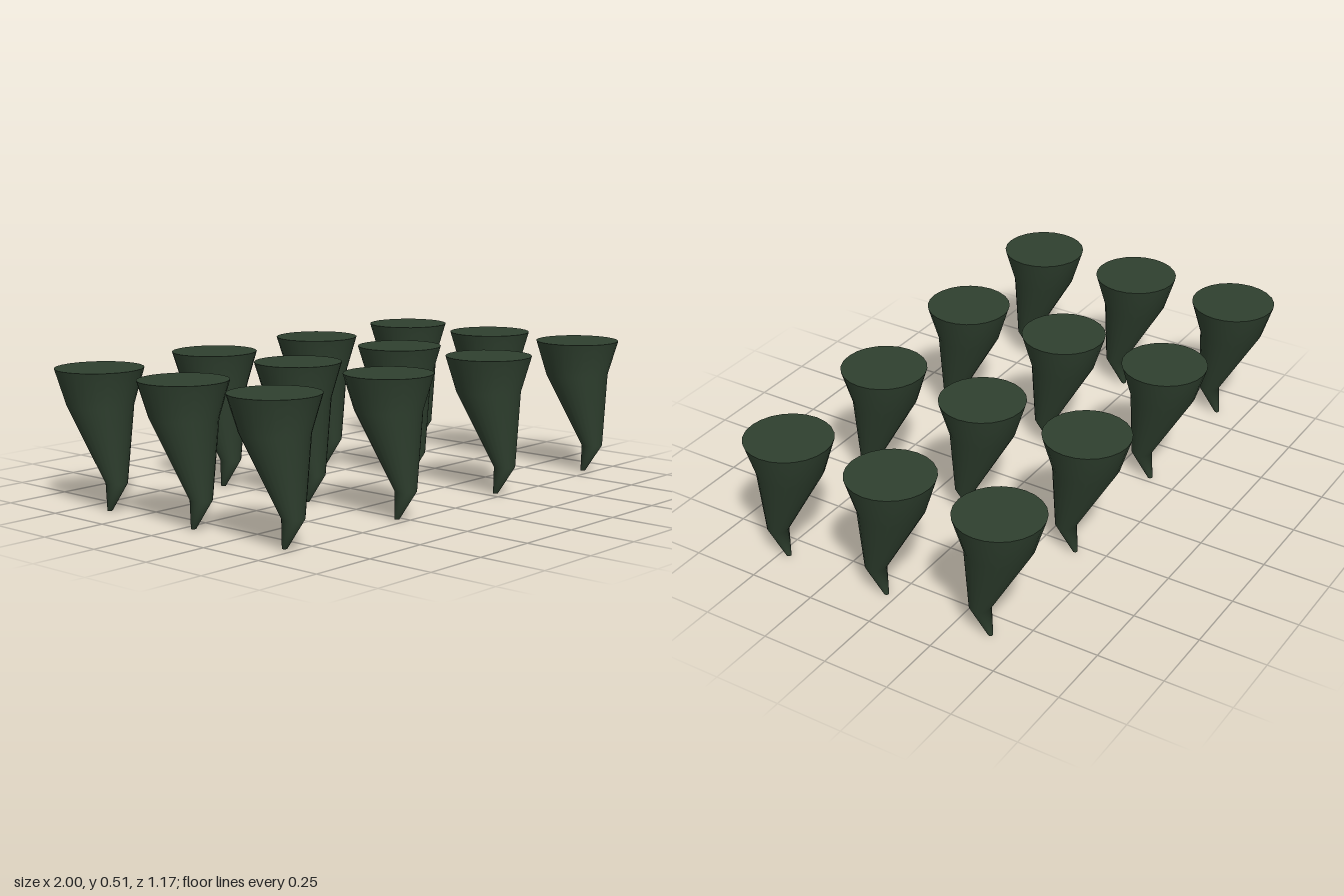
import * as THREE from 'three';
import { mergeVertices } from 'three/addons/utils/BufferGeometryUtils.js';

const SIDES = 24;
// Rings from the tip upward: height, radius, forward offset
const RINGS = [
  [0, 0.009, 0.038],
  [0.105, 0.039, 0.078],
  [0.378, 0.119, 0.001],
  [0.508, 0.158, 0],
];
const TILT = 0.004; // slight pitch of the whole set

// Bent cone wall: an open cylinder whose rings are resized and shifted
function bentWall() {
  let geo = new THREE.CylinderGeometry(1, 1, 3, SIDES, 3, true);
  geo.deleteAttribute('uv');
  geo.deleteAttribute('normal');
  const p = geo.attributes.position;
  for (let i = 0; i < p.count; i++) {
    const [y, r, z] = RINGS[Math.round(p.getY(i) + 1.5)];
    p.setXYZ(i, p.getX(i) * r, y, p.getZ(i) * r + z);
  }
  geo = mergeVertices(geo); // closes the seam for smooth shading
  geo.computeVertexNormals();
  return geo;
}

// Flat disc closing one end
function endCap([y, r, z], facing) {
  return new THREE.CircleGeometry(r, SIDES, Math.PI / 2)
    .rotateX(-facing * Math.PI / 2)
    .translate(0, y, z);
}

export function createModel() {
  const model = new THREE.Group();
  model.name = 'spikeSet';
  const material = new THREE.MeshStandardMaterial({ color: 0x2f402f });
  const parts = {
    wall: bentWall(),
    topCap: endCap(RINGS[3], 1),
    tipCap: endCap(RINGS[0], -1),
  };

  // Three rows of four identical hooked spikes
  for (const z of [0.427, 0.001, -0.427]) {
    for (const x of [-0.843, -0.281, 0.281, 0.843]) {
      const spike = new THREE.Group();
      spike.name = 'spike';
      for (const [name, geo] of Object.entries(parts)) {
        const mesh = new THREE.Mesh(geo, material);
        mesh.name = name;
        spike.add(mesh);
      }
      spike.position.set(x, 0.0015 + TILT * z, z);
      spike.rotation.x = -TILT;
      model.add(spike);
    }
  }
  return model;
}
